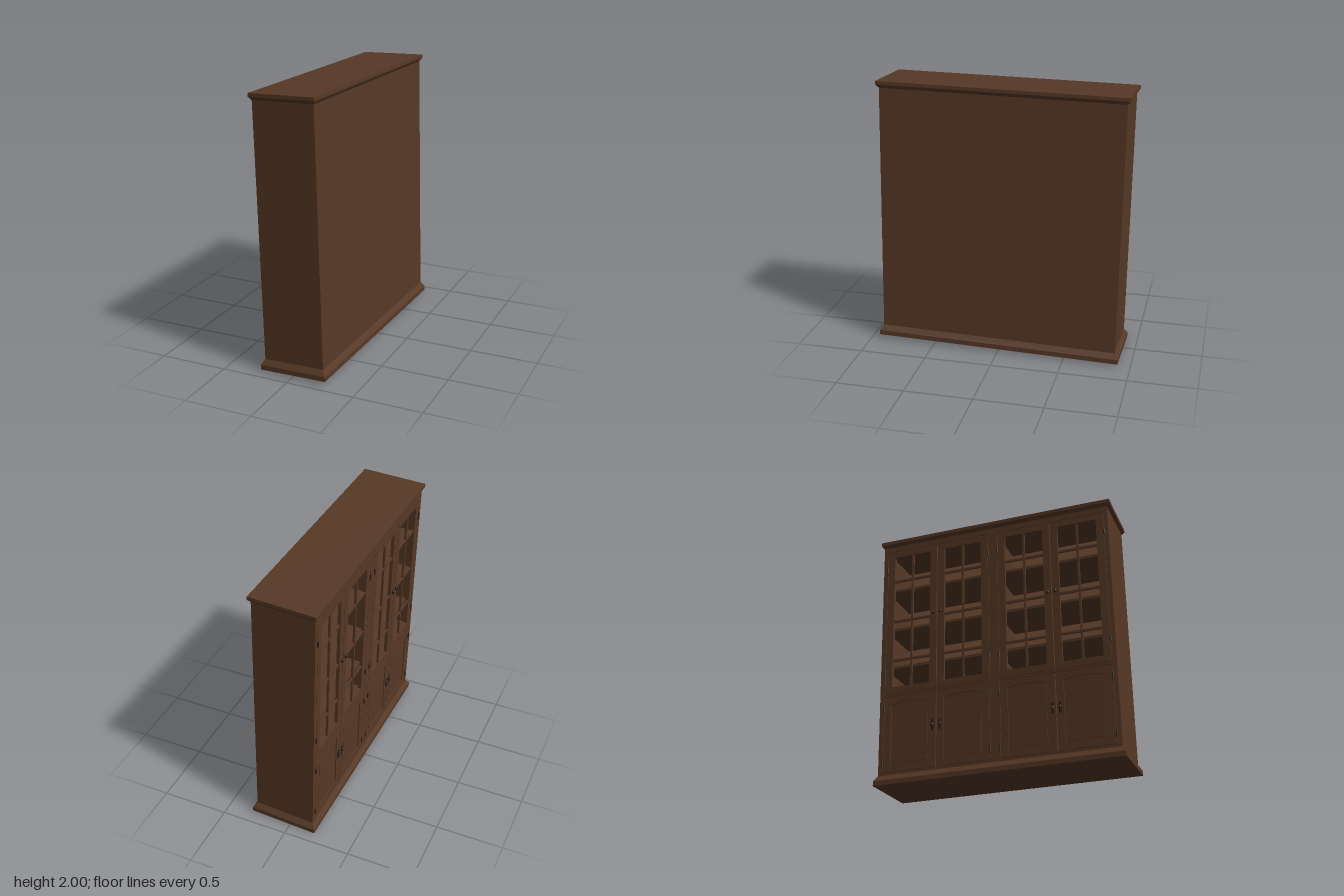
import * as THREE from 'three';

const mat = (name, color) => {
  const m = new THREE.MeshStandardMaterial({ color });
  m.name = name;
  return m;
};

export function createModel() {
  const wood = mat('dark wood', 0x573926);
  const inner = mat('interior wood', 0x7f553a);
  const metal = mat('dark metal', 0x2a1c14);

  const model = new THREE.Group();
  const cabinet = new THREE.Group();
  cabinet.name = 'cabinet';
  model.add(cabinet);

  const H = 1.97, DEPTH = 0.455, LEN = 1.79, FRONT = -DEPTH / 2;
  const BOTTOM = 0.075, TOP = 1.92;

  const add = (name, geo, material, x = 0, y = 0, z = 0, parent = cabinet) => {
    const mesh = new THREE.Mesh(geo, material);
    mesh.name = name;
    mesh.position.set(x, y, z);
    parent.add(mesh);
    return mesh;
  };
  const box = (name, material, x0, x1, y0, y1, z0, z1, parent) =>
    add(name, new THREE.BoxGeometry(x1 - x0, y1 - y0, z1 - z0), material,
      (x0 + x1) / 2, (y0 + y1) / 2, (z0 + z1) / 2, parent);

  // Moulding tier: a box whose top and bottom rectangles differ
  const tier = (name, y0, y1, bottom, top) => {
    const g = new THREE.BoxGeometry(1, y1 - y0, 1).toNonIndexed();
    const p = g.attributes.position;
    for (let i = 0; i < p.count; i++) {
      const [d, l] = p.getY(i) > 0 ? top : bottom;
      p.setX(i, p.getX(i) * d);
      p.setZ(i, p.getZ(i) * l);
    }
    g.computeVertexNormals();
    add(name, g, wood, 0, (y0 + y1) / 2, 0);
  };

  // Outlines in the plane of the doors: horizontal is z, vertical is y
  const outline = (Type, z0, z1, y0, y1, arch = 0) => {
    const s = new Type();
    s.moveTo(z0, y0);
    s.lineTo(z1, y0);
    s.lineTo(z1, y1 - arch);
    if (arch) s.quadraticCurveTo((z0 + z1) / 2, y1 + arch, z0, y1 - arch);
    else s.lineTo(z0, y1);
    s.closePath();
    return s;
  };
  // Extrude an outline towards the front, ending at x = face
  const slab = (name, shape, thickness, face, material = wood) => {
    const g = new THREE.ExtrudeGeometry(shape, { depth: thickness, bevelEnabled: false, curveSegments: 8 });
    g.rotateY(-Math.PI / 2);
    add(name, g, material, face + thickness);
  };

  // Plinth and crown
  const body = [DEPTH, LEN], foot = [0.505, 1.842], cap = [0.487, 1.832];
  tier('plinth', 0, 0.035, foot, foot);
  tier('plinthSlope', 0.035, BOTTOM, foot, body);
  tier('crownSlope', TOP, 1.945, body, cap);
  tier('crownTop', 1.945, H, cap, cap);

  // Carcass
  const back = DEPTH / 2, half = LEN / 2;
  box('backPanel', wood, back - 0.015, back, BOTTOM, TOP, -half, half);
  box('backLining', inner, back - 0.02, back - 0.015, 0.7, TOP - 0.02, -half + 0.02, half - 0.02);
  for (const s of [-1, 1]) {
    const z = s * (half - 0.01);
    box('endPanel', wood, FRONT, back, BOTTOM, TOP, z - 0.01, z + 0.01);
  }
  box('partition', wood, FRONT + 0.02, back - 0.015, BOTTOM, TOP, -0.015, 0.015);
  box('cabinetCeiling', wood, FRONT + 0.02, back - 0.015, TOP - 0.02, TOP, -half + 0.02, half - 0.02);
  box('cabinetDeck', wood, FRONT + 0.03, back - 0.015, 0.67, 0.695, -half + 0.02, half - 0.02);

  // Shelves, one set in each of the two bays
  for (const s of [-1, 1]) for (const y of [0.92, 1.23, 1.56]) {
    box('shelf', wood, FRONT + 0.05, back - 0.02, y - 0.01, y + 0.01,
      s > 0 ? 0.015 : -half + 0.02, s > 0 ? half - 0.02 : -0.015);
  }

  // Face frame with openings for each pair of doors
  const PAIR = 0.449, SPAN = 0.412;
  const upper = [0.69, 1.88], lower = [0.095, 0.672];
  const frame = outline(THREE.Shape, -half, half, BOTTOM, TOP);
  for (const s of [-1, 1]) for (const [y0, y1] of [upper, lower]) {
    frame.holes.push(outline(THREE.Path, s * PAIR - SPAN, s * PAIR + SPAN, y0, y1));
  }
  slab('faceFrame', frame, 0.024, FRONT);

  const hinge = (y, z) => add('hinge', new THREE.CylinderGeometry(0.006, 0.006, 0.045, 8), metal, FRONT - 0.003, y, z);
  const knob = (y, z) => {
    const k = add('knob', new THREE.SphereGeometry(0.01, 10, 8), metal, FRONT - 0.008, y, z);
    k.scale.set(1, 1.5, 1);
  };

  // Four bays: glazed door above, panelled door below
  for (const pair of [-1, 1]) for (const side of [-1, 1]) {
    const c = pair * PAIR + side * SPAN / 2;
    const w = SPAN / 2 - 0.003, g = 0.148;
    const hingeZ = pair * PAIR + side * SPAN, knobZ = c - side * (w - 0.025);

    const glazed = outline(THREE.Shape, c - w, c + w, upper[0] + 0.003, upper[1] - 0.003);
    const y0 = 0.745, y1 = 1.826;
    glazed.holes.push(outline(THREE.Path, c - g, c + g, y0, y1));
    slab('glazedDoor', glazed, 0.024, FRONT);
    box('verticalGlazingBar', wood, FRONT + 0.004, FRONT + 0.02, y0, y1, c - 0.008, c + 0.008);
    for (const y of [0.96, 1.28, 1.62]) {
      box('glazingBar', wood, FRONT + 0.005, FRONT + 0.019, y - 0.008, y + 0.008, c - g, c + g);
    }

    const panelled = outline(THREE.Shape, c - w, c + w, lower[0] + 0.003, lower[1] - 0.003);
    panelled.holes.push(outline(THREE.Path, c - g, c + g, 0.15, 0.625, 0.02));
    slab('panelledDoor', panelled, 0.024, FRONT);
    slab('recessedPanel', outline(THREE.Shape, c - g, c + g, 0.15, 0.625, 0.02), 0.014, FRONT + 0.01);
    slab('raisedField', outline(THREE.Shape, c - g + 0.012, c + g - 0.012, 0.162, 0.613, 0.02), 0.008, FRONT + 0.003);

    for (const y of [0.17, 0.58, 0.87, 1.72]) hinge(y, hingeZ);
    knob(1.3, knobZ);
    // Drop pull on the lower door
    box('pullPlate', metal, FRONT - 0.004, FRONT, 0.37, 0.45, knobZ - 0.008, knobZ + 0.008);
    knob(0.41, knobZ);
  }

  // The whole cabinet leans slightly about its middle
  for (const part of cabinet.children) part.position.y -= H / 2;
  cabinet.rotation.set(-0.008, -0.024, 0.032);
  cabinet.position.y = 1;
  return model;
}
